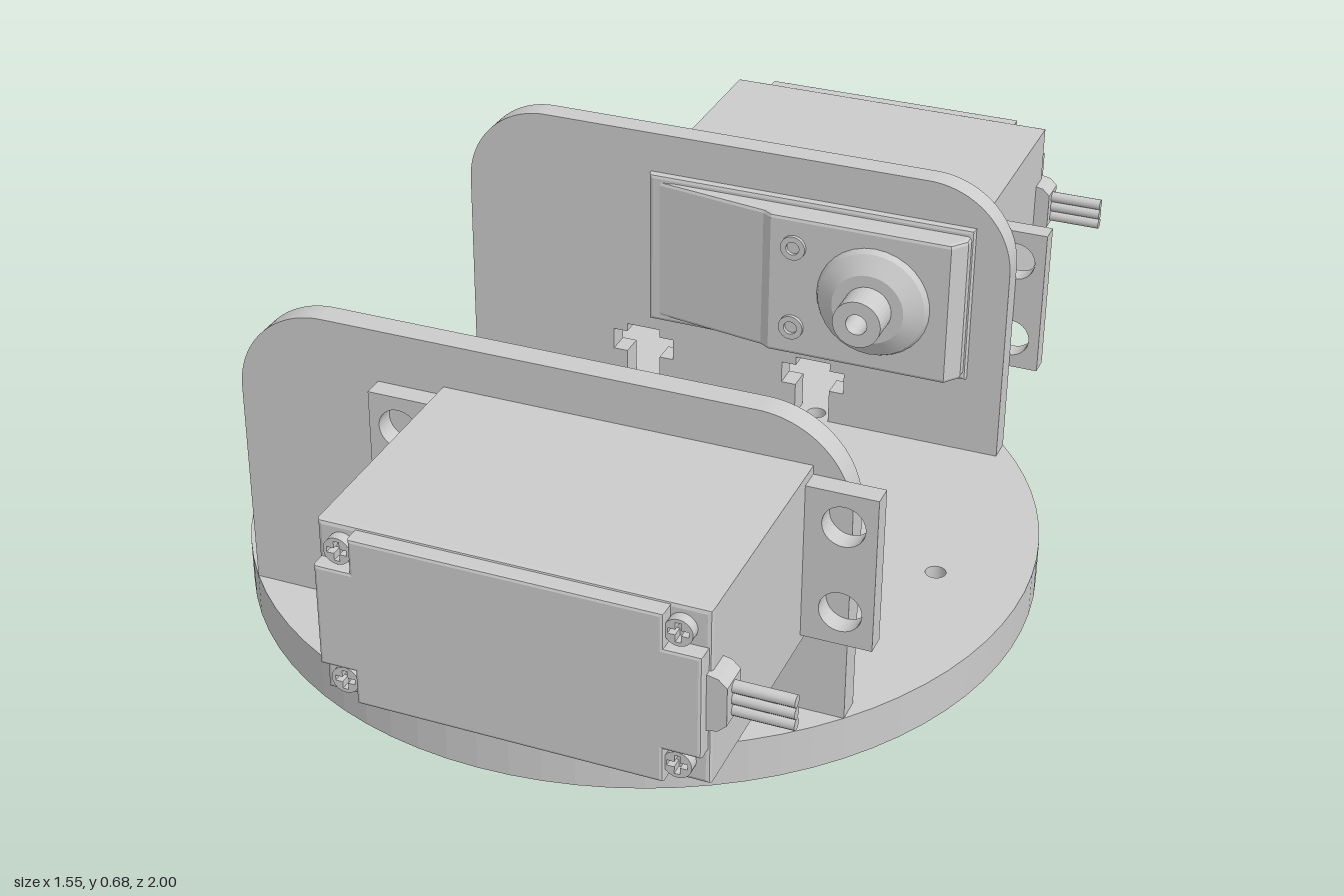
import * as THREE from 'three';

const mat = new THREE.MeshStandardMaterial({ color: 0xcccccc });
const CY = 0.427; // height of the servo axis

function part(name, geometry, x = 0, y = 0, z = 0) {
  const m = new THREE.Mesh(geometry, mat);
  m.name = name;
  m.position.set(x, y, z);
  return m;
}

function poly(points, Kind = THREE.Shape) {
  return new Kind(points.map(([x, y]) => new THREE.Vector2(x, y)));
}

const rect = (x0, y0, x1, y1, Kind) => poly([[x0, y0], [x1, y0], [x1, y1], [x0, y1]], Kind);

function circle(x, y, r, Kind = THREE.Path) {
  return new Kind().absarc(x, y, r, 0, Math.PI * 2, false);
}

function extrude(shape, depth, curveSegments = 16, bevel = 0) {
  return new THREE.ExtrudeGeometry(shape, {
    depth: depth - 2 * bevel, curveSegments, bevelEnabled: bevel > 0,
    bevelSize: bevel, bevelThickness: bevel, bevelOffset: -bevel, bevelSegments: 2,
  }).translate(0, 0, bevel);
}

// Cylinder whose axis runs along z, radius r0 at z0 and r1 at z1
function rod(r0, r1, z0, z1, sides = 32) {
  return new THREE.CylinderGeometry(r1, r0, Math.abs(z1 - z0), sides)
    .rotateX(z1 > z0 ? Math.PI / 2 : -Math.PI / 2).translate(0, 0, (z0 + z1) / 2);
}

// Plus-shaped outline: a rectangle with its four corners cut away
function notched(w, h, c) {
  const W = w / 2, H = h / 2;
  return poly([[-W + c, -H], [W - c, -H], [W - c, -H + c], [W, -H + c], [W, H - c], [W - c, H - c],
    [W - c, H], [-W + c, H], [-W + c, H - c], [-W, H - c], [-W, -H + c], [-W + c, -H + c]]);
}

function crossPath(x, y, r, t) {
  return poly([[x - t, y - r], [x + t, y - r], [x + t, y - t], [x + r, y - t], [x + r, y + t], [x + t, y + t],
    [x + t, y + r], [x - t, y + r], [x - t, y + t], [x - r, y + t], [x - r, y - t], [x - t, y - t]], THREE.Path);
}

// Round base: the lower layer has wide counterbores below the plate slots
function createBase() {
  const base = new THREE.Group();
  base.name = 'base';
  [[0, 0.055], [0.045, 0.02]].forEach(([y, boltRadius], i) => {
    const s = circle(0, 0, 0.775, THREE.Shape);
    s.holes.push(circle(0, 0, 0.083));
    for (const d of [0.13, 0.6]) {
      for (const k of [-1, 1]) s.holes.push(circle(k * d, 0, 0.02), circle(0, k * d, 0.02));
    }
    for (const x of [-0.19, 0.19]) {
      for (const z of [-0.48, 0.48]) s.holes.push(circle(x, z, boltRadius));
    }
    base.add(part(i ? 'upperDisc' : 'lowerDisc', extrude(s, 0.045, 40).rotateX(-Math.PI / 2), 0, y));
  });
  return base;
}

// Upright plate with rounded top, nut slots and a window for the servo
function createPlate() {
  const s = new THREE.Shape();
  const W = 0.588, top = 0.68, b = 0.09, r = 0.175;
  s.moveTo(-W, b);
  for (const x of [-0.193, 0.187]) {
    for (const [dx, y] of [[-0.037, b], [-0.037, 0.163], [-0.068, 0.163], [-0.068, 0.21], [-0.037, 0.21],
      [-0.037, 0.228], [0.037, 0.228], [0.037, 0.21], [0.068, 0.21], [0.068, 0.163], [0.037, 0.163], [0.037, b]]) {
      s.lineTo(x + dx, y);
    }
  }
  s.lineTo(W, b);
  s.lineTo(W, top - r);
  s.absarc(W - r, top - r, r, 0, Math.PI / 2, false);
  s.absarc(-W + r, top - r, r, Math.PI / 2, Math.PI, false);
  s.holes.push(rect(-0.172, 0.262, 0.512, 0.592, THREE.Path));
  return extrude(s, 0.05);
}

// Servo with its output shaft pointing to -z
function createServo() {
  const g = new THREE.Group();
  g.name = 'servo';
  const cx = 0.17, w = 0.69, h = 0.336;

  // Case and end cover with cut corners
  g.add(part('case', extrude(rect(-w / 2, -h / 2, w / 2, h / 2), 0.53, 4, 0.008), cx, CY, 0.44));
  g.add(part('endCover', extrude(notched(w - 0.01, h - 0.01, 0.065), 0.04, 4, 0.006), cx, CY, 0.96));

  // Cross-head corner screws
  for (const x of [-0.13, 0.466]) {
    for (const dy of [-0.128, 0.128]) {
      const head = circle(x, CY + dy, 0.025, THREE.Shape);
      head.holes.push(crossPath(x, CY + dy, 0.018, 0.005));
      g.add(part('coverScrew', extrude(head, 0.022), 0, 0, 0.968));
    }
  }

  // Mounting flange with four holes
  const flange = rect(-0.305, 0.275, 0.645, 0.578);
  for (const x of [-0.247, 0.585]) {
    for (const dy of [-0.086, 0.086]) flange.holes.push(circle(x, CY + dy, 0.039));
  }
  g.add(part('flange', extrude(flange, 0.04, 20), 0, 0, 0.505));

  // Gear cover: sloping on one side, flat below the shaft
  const cover = poly([[-0.15, -0.45], [-0.15, -0.438], [0.09, -0.4], [0.11, -0.388], [0.485, -0.388],
    [0.51, -0.42], [0.51, -0.45]].reverse());
  const gearCover = extrude(cover, 0.31, 4, 0.008).rotateX(-Math.PI / 2);
  g.add(part('gearCover', gearCover, 0, CY - 0.155, 0));
  for (const dy of [-0.09, 0.09]) {
    const ring = circle(0.16, CY + dy, 0.026, THREE.Shape);
    ring.holes.push(circle(0.16, CY + dy, 0.014));
    g.add(part('gearScrew', extrude(ring, 0.01), 0, 0, 0.38));
  }

  // Tapered boss and hollow output shaft
  g.add(part('bossFoot', rod(0.122, 0.112, 0.395, 0.375), 0.33, CY));
  g.add(part('boss', rod(0.112, 0.075, 0.375, 0.353), 0.33, CY));
  const shaft = circle(0, 0, 0.05, THREE.Shape);
  shaft.holes.push(circle(0, 0, 0.022));
  g.add(part('outputShaft', extrude(shaft, 0.075), 0.33, CY, 0.285));

  // Cable grommet and three wires
  const grommet = poly([[0.5, -0.056], [0.53, -0.05], [0.545, -0.036], [0.545, 0.036], [0.53, 0.05], [0.5, 0.056]]);
  g.add(part('cableGrommet', extrude(grommet, 0.06), 0, CY, 0.92));
  for (const dy of [-0.022, 0, 0.022]) {
    const wire = new THREE.CylinderGeometry(0.011, 0.011, 0.12, 12).rotateZ(Math.PI / 2);
    g.add(part('wire', wire, 0.59, CY + dy, 0.95));
  }
  return g;
}

export function createModel() {
  const model = new THREE.Group();
  model.name = 'servoMount';
  model.add(createBase());

  // Two plates, each carrying one servo facing the middle
  const plate = createPlate();
  model.add(part('frontPlate', plate, 0, 0, 0.455), part('backPlate', plate, 0, 0, -0.505));
  const front = createServo();
  front.name = 'frontServo';
  const back = createServo();
  back.name = 'backServo';
  back.rotation.x = Math.PI;
  back.position.y = 2 * CY;
  model.add(front, back);
  return model;
}
